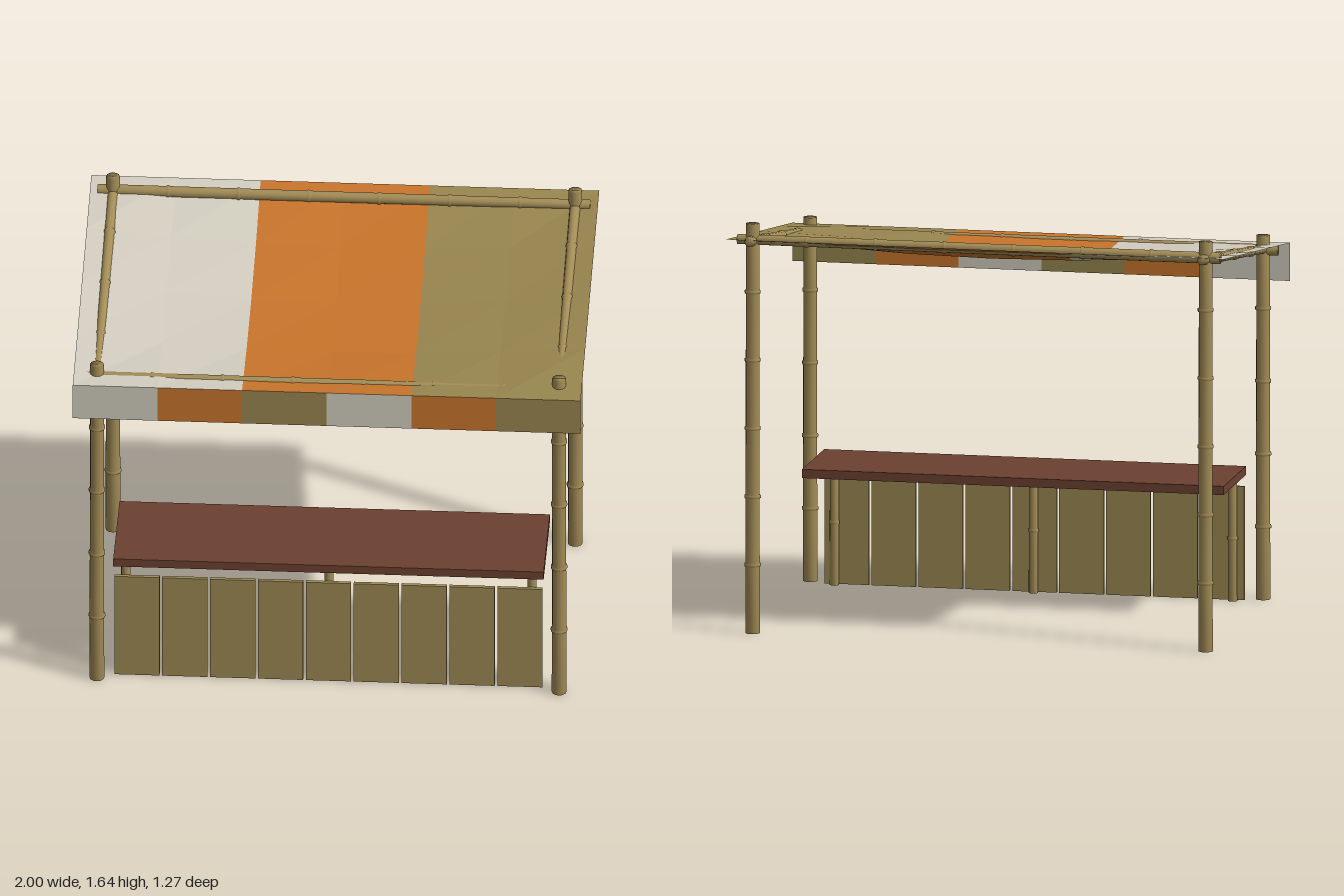
import * as THREE from 'three';

const mat = (name, color, side = THREE.FrontSide) => {
  const m = new THREE.MeshStandardMaterial({ color, side });
  m.name = name;
  return m;
};

export function createModel() {
  const root = new THREE.Group();
  root.name = 'marketStall';
  const bamboo = mat('bamboo', 0xa38d57);
  const plankWood = mat('plankTan', 0x9c8953);
  const counterWood = mat('counterBrown', 0x6c4131);
  const cloth = [
    mat('creamCloth', 0xd2cdbf, THREE.DoubleSide),
    mat('orangeCloth', 0xc8742b, THREE.DoubleSide),
    mat('oliveCloth', 0x98864f, THREE.DoubleSide),
  ];

  const add = (name, geometry, material, parent = root) => {
    const mesh = new THREE.Mesh(geometry, material);
    mesh.name = name;
    parent.add(mesh);
    return mesh;
  };

  // Bamboo pole from a to b: a lathe with a raised ring between segments
  const pole = (name, a, b, r0, r1, segments) => {
    const from = new THREE.Vector3(...a);
    const dir = new THREE.Vector3(...b).sub(from);
    const len = dir.length();
    const pts = [[0, 0], [r0, 0]];
    for (let i = 1; i < segments; i++) {
      const y = (len * i) / segments;
      const r = r0 + ((r1 - r0) * i) / segments;
      pts.push([r, y - 0.008], [r * 1.16, y - 0.005], [r * 1.16, y + 0.005], [r, y + 0.008]);
    }
    pts.push([r1, len], [0, len]);
    const geo = new THREE.LatheGeometry(pts.map((p) => new THREE.Vector2(...p)), 12);
    const mesh = add(name, geo, bamboo);
    mesh.position.copy(from);
    mesh.quaternion.setFromUnitVectors(new THREE.Vector3(0, 1, 0), dir.normalize());
    return mesh;
  };

  // Posts and sloping side rails
  for (const [side, s] of [['left', 1], ['right', -1]]) {
    const x = 0.91 * s;
    pole(side + 'FrontPost', [x, 0, 0.545], [x, 1.457, 0.545], 0.029, 0.027, 5);
    pole(side + 'BackPost', [x, 0, -0.55], [x, 1.64, -0.55], 0.029, 0.027, 6);
    pole(side + 'SideRail', [x, 1.578, -0.61], [x, 1.393, 0.6], 0.021, 0.018, 4);
  }

  // Cross beams
  pole('frontBeam', [-0.97, 1.399, 0.545], [0.97, 1.399, 0.545], 0.022, 0.019, 7);
  pole('backBeam', [-0.97, 1.575, -0.55], [0.97, 1.575, -0.55], 0.023, 0.02, 7);

  // Sagging striped canopy
  const D = 0.635;
  const yFront = 1.413;
  const yBack = 1.588;
  const canopy = new THREE.Group();
  canopy.name = 'canopy';
  root.add(canopy);
  cloth.forEach((material, i) => {
    const plane = new THREE.PlaneGeometry(2 / 3, 2 * D, 2, 4);
    plane.rotateX(-Math.PI / 2).translate((i - 1) * (2 / 3), 0, 0);
    const p = plane.attributes.position;
    for (let k = 0; k < p.count; k++) {
      const x = p.getX(k);
      const t = p.getZ(k) / D;
      const sag = 0.071 * (1 - x * x) * (1 - t * t);
      p.setY(k, (yFront + yBack) / 2 + ((yFront - yBack) / 2) * t - sag);
    }
    const faceted = plane.toNonIndexed();
    faceted.computeVertexNormals();
    add('canopyStripe', faceted, material, canopy);
  });

  // Hanging front valance
  const valance = new THREE.Group();
  valance.name = 'valance';
  root.add(valance);
  for (let i = 0; i < 6; i++) {
    const strip = add('valanceStrip', new THREE.PlaneGeometry(1 / 3, 0.153), cloth[i % 3], valance);
    strip.position.set(-1 + (i + 0.5) / 3, yFront - 0.0765, D);
  }

  // Counter top on three short bamboo legs
  add('counterTop', new THREE.BoxGeometry(1.695, 0.035, 0.425), counterWood).position.set(0, 0.5175, 0.303);
  for (const x of [-0.8, 0, 0.8]) {
    pole('counterLeg', [x, 0, 0.484], [x, 0.501, 0.484], 0.019, 0.018, 2);
  }

  // Front planks
  const planks = new THREE.Group();
  planks.name = 'frontPlanks';
  root.add(planks);
  for (let i = 0; i < 9; i++) {
    const plank = add('plank', new THREE.BoxGeometry(0.178, 0.455, 0.015), plankWood, planks);
    plank.position.set((i - 4) * 0.1885, 0.2275, 0.51);
  }

  return root;
}
